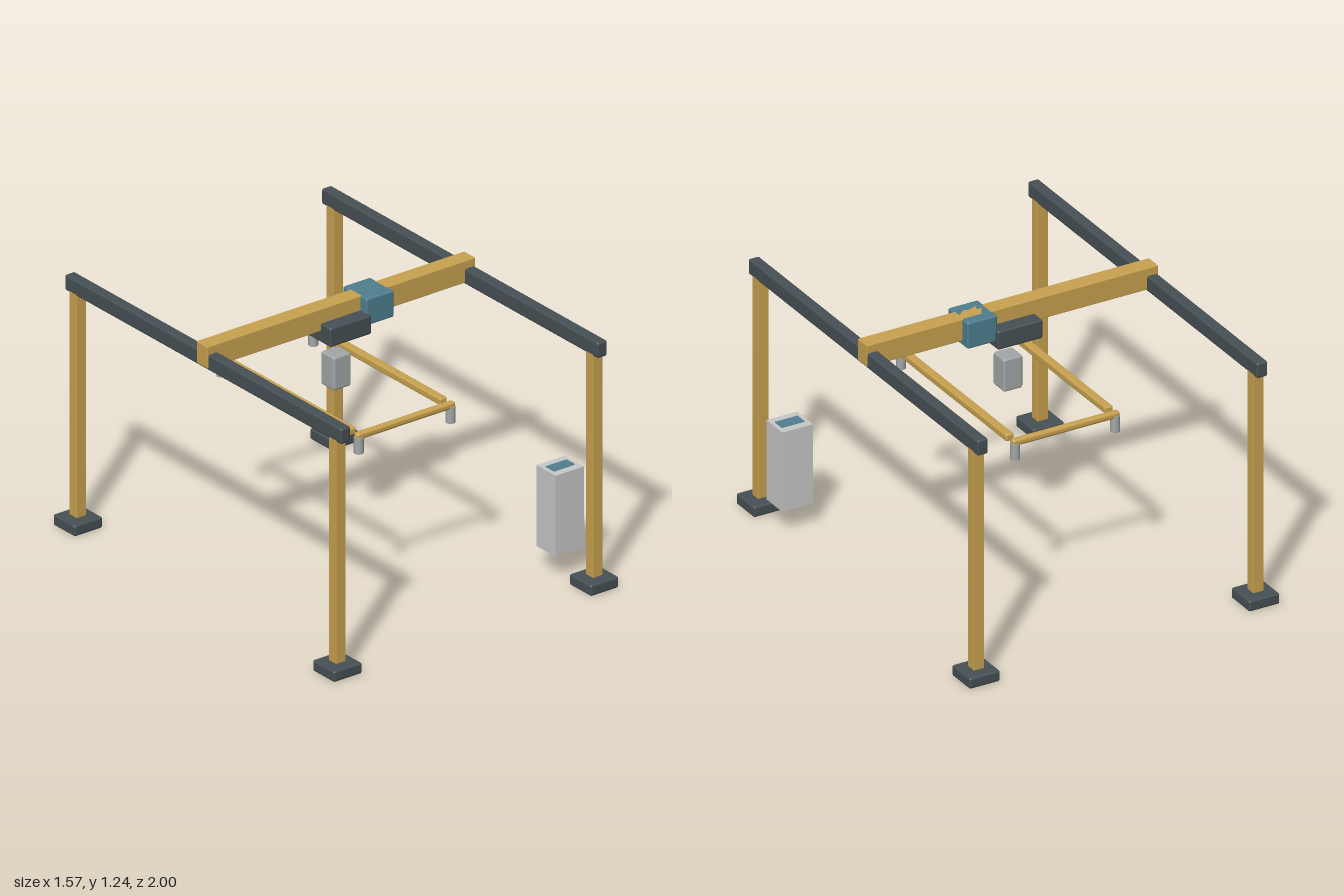
import * as THREE from 'three';
import { RoundedBoxGeometry } from 'three/addons/geometries/RoundedBoxGeometry.js';

const material = (name, color) => {
  const m = new THREE.MeshStandardMaterial({ color });
  m.name = name;
  return m;
};

export function createModel() {
  const gold = material('gold paint', 0xc9a24f);
  const dark = material('dark steel', 0x465054);
  const teal = material('teal housing', 0x4f7f90);
  const grey = material('grey metal', 0xa2a7a7);
  const pale = material('pale cabinet', 0xc8c8c8);
  const model = new THREE.Group();
  model.name = 'gantryCrane';

  const add = (name, geometry, mat, x, y, z, parent = model) => {
    const mesh = new THREE.Mesh(geometry, mat);
    mesh.name = name;
    mesh.position.set(x, y, z);
    parent.add(mesh);
    return mesh;
  };
  // Box given by its size and centre, with softened edges when r > 0
  const block = (name, [w, h, d], [x, y, z], mat, r = 0.008, parent = model) =>
    add(name, r > 0 ? new RoundedBoxGeometry(w, h, d, 2, r) : new THREE.BoxGeometry(w, h, d), mat, x, y, z, parent);

  // Four columns on feet, carrying two runway rails
  for (const sx of [-1, 1]) {
    for (const sz of [-1, 1]) {
      block('foot', [0.155, 0.053, 0.155], [sx * 0.705, 0.0265, sz * 0.9225], dark, 0.01);
      block('column', [0.053, 1.1, 0.053], [sx * 0.705, 0.605, sz * 0.9225], gold, 0.003);
    }
    block('runwayRail', [0.054, 0.075, 1.965], [sx * 0.705, 1.1635, 0], dark, 0.01);
  }

  // Bridge beam with trolley and hoist motor
  block('bridgeBeam', [1.47, 0.106, 0.08], [0, 1.187, 0], gold, 0.004);
  block('trolley', [0.228, 0.092, 0.216], [0, 1.125, 0], dark, 0.01);
  block('hoistMotor', [0.15, 0.128, 0.17], [0.178, 1.176, 0], teal, 0.008);

  // Hanging lifting frame with a grip at each corner
  const frame = new THREE.Group();
  frame.name = 'liftingFrame';
  model.add(frame);
  block('frameHub', [0.096, 0.16, 0.096], [0, 0.907, 0], grey, 0.01, frame);
  for (const s of [-1, 1]) {
    block('sideBar', [0.04, 0.034, 0.885], [s * 0.25, 0.842, 0], gold, 0.008, frame);
    block('crossBar', [0.54, 0.033, 0.033], [0, 0.843, s * 0.488], gold, 0.012, frame);
    for (const sz of [-1, 1]) {
      add('grip', new THREE.CylinderGeometry(0.022, 0.022, 0.078, 20), grey, s * 0.252, 0.799, sz * 0.488, frame);
    }
  }

  // Control cabinet beside one column, with a panel set on top
  block('controlCabinet', [0.155, 0.39, 0.136], [0.682, 0.312, 0.711], pale, 0);
  block('controlPanel', [0.115, 0.006, 0.06], [0.682, 0.508, 0.711], teal, 0.002);

  return model;
}
